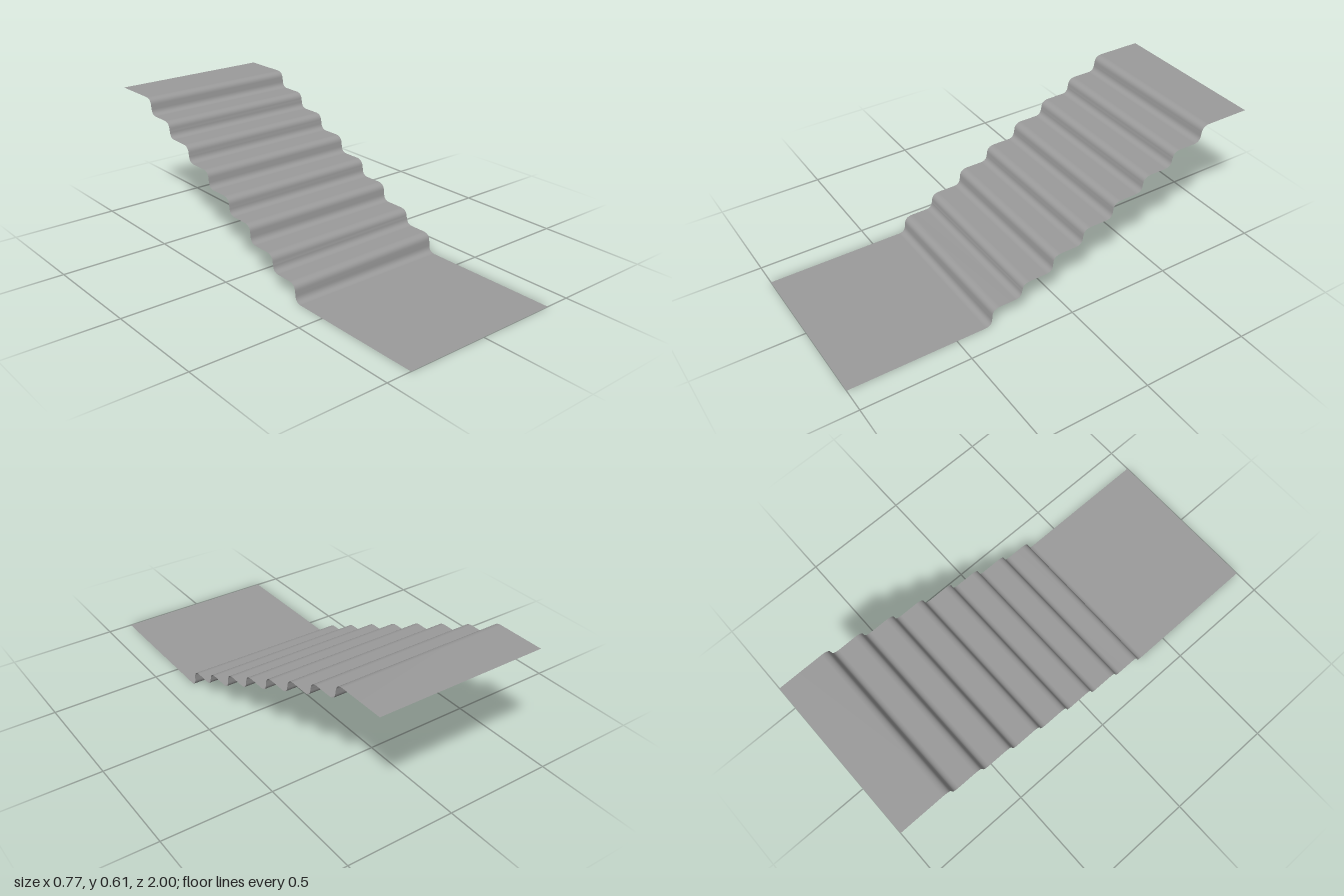
import * as THREE from 'three';

const WIDTH = 0.766;
const RISER_Z = [0.326, 0.177, 0.021, -0.131, -0.286, -0.441, -0.596, -0.751];
const LEVELS = [0, 0.084, 0.156, 0.236, 0.312, 0.389, 0.463, 0.536, 0.613];

// Side profile as (z, y) points, from the front edge to the back edge.
function stairProfile(levels) {
  const path = new THREE.Path();
  path.moveTo(1, 0);
  RISER_Z.forEach((z, i) => {
    const y0 = levels[i], y1 = levels[i + 1];
    path.lineTo(z + 0.036, y0);
    path.quadraticCurveTo(z + 0.005, y0 + 0.001, z + 0.003, y0 + 0.032); // hollow at the foot
    path.lineTo(z + 0.001, y1 - 0.034);
    path.quadraticCurveTo(z - 0.001, y1 - 0.001, z - 0.038, y1); // rounded nosing
  });
  path.lineTo(-1, levels[levels.length - 1]);
  return path.getPoints(10);
}

export function createModel() {
  const group = new THREE.Group();

  // The lowest tread leans slightly across its width.
  const sections = [-1, 1].map((side) =>
    stairProfile(LEVELS.map((y, i) => (i === 1 ? y + 0.003 * side : y))).reverse());

  // One thin sheet: lower landing, eight soft steps and upper landing.
  const rows = sections[0].length;
  const geometry = new THREE.PlaneGeometry(WIDTH, 2, 1, rows - 1);
  const position = geometry.attributes.position;
  for (let row = 0; row < rows; row++) {
    sections.forEach((section, column) => {
      const { x: z, y } = section[row];
      position.setXYZ(row * 2 + column, (column - 0.5) * WIDTH, y, z);
    });
  }
  geometry.computeVertexNormals();

  const stairs = new THREE.Mesh(geometry,
    new THREE.MeshStandardMaterial({ color: 0x9b9b9b, side: THREE.DoubleSide }));
  stairs.name = 'stairSheet';
  group.add(stairs);
  return group;
}
